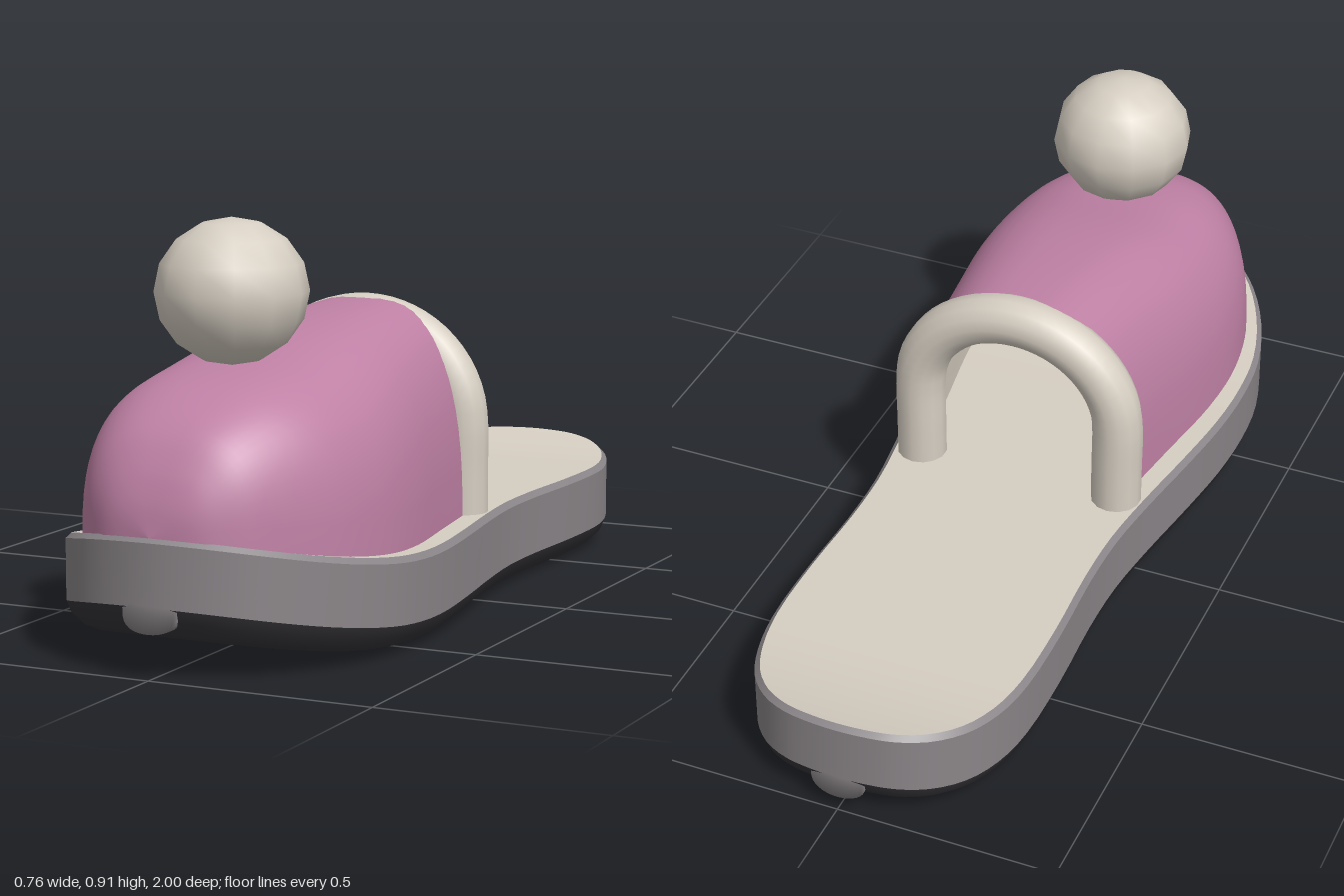
import * as THREE from 'three';

const paint = (name, color) => Object.assign(new THREE.MeshStandardMaterial({ color }), { name });
const V = (x, y, z) => new THREE.Vector3(x, y, z);

// Skin a grid of points; faces point along (row direction x column direction)
function loft(rows, closed = false) {
  const n = rows[0].length, index = [];
  for (let r = 0; r < rows.length - 1; r++) {
    for (let k = 0; k < (closed ? n : n - 1); k++) {
      const a = r * n + k, b = r * n + (k + 1) % n;
      index.push(a, a + n, b, b, a + n, b + n);
    }
  }
  const g = new THREE.BufferGeometry().setFromPoints(rows.flat());
  g.setIndex(index);
  g.computeVertexNormals();
  return g;
}

// Height of the sole's underside: toe and heel curl upward
function rise(z) {
  if (z > 0.35) return 0.095 * ((z - 0.35) / 0.65) ** 2;
  if (z < -0.72) return 0.037 * ((-z - 0.72) / 0.28) ** 2;
  return 0;
}

export function createModel() {
  const model = new THREE.Group();
  model.name = 'slipper';
  const cream = paint('cream', 0xd6cec2);
  const pink = paint('pink', 0xbf81a5);
  const grey = paint('grey', 0x8a8588);
  const dark = paint('dark', 0x343236);
  const add = (name, geometry, material) => {
    const mesh = new THREE.Mesh(geometry, material);
    mesh.name = name;
    model.add(mesh);
    return mesh;
  };

  // Sole outline as half-width and z, heel to toe, mirrored into a loop
  const side = [
    [0.06, -0.996], [0.125, -0.982], [0.19, -0.945], [0.245, -0.88], [0.282, -0.79], [0.302, -0.68],
    [0.305, -0.5], [0.297, -0.3], [0.3, -0.15], [0.318, 0], [0.35, 0.2], [0.37, 0.35], [0.378, 0.5],
    [0.37, 0.62], [0.332, 0.75], [0.272, 0.86], [0.2, 0.935], [0.13, 0.974], [0.06, 0.994],
  ];
  const loop = [
    V(0, 0, -1), ...side.map(([x, z]) => V(x, 0, z)),
    V(0, 0, 1), ...side.slice().reverse().map(([x, z]) => V(-x, 0, z)),
  ];
  const count = loop.length * 3;
  const outline = new THREE.CatmullRomCurve3(loop, true).getPoints(count).slice(0, count);

  // Outline moved inward and placed at a height above the underside
  const ring = (inset, height) => outline.map((p, i) => {
    const t = outline[(i + 1) % count].clone().sub(outline[(i + count - 1) % count]).normalize();
    const x = p.x - t.z * inset, z = p.z + t.x * inset;
    return V(x, rise(z) + height, z);
  });
  // Flat-across cover made of strips between mirrored outline points
  const cover = (points, up) => {
    const rows = [];
    for (let i = 0; i <= count / 2; i++) {
      const pair = [points[(count - i) % count], points[i]];
      rows.push(up ? pair : pair.reverse());
    }
    return loft(rows);
  };

  add('outsoleEdge', loft([ring(0.06, 0), ring(0.035, 0.008), ring(0.01, 0.03), ring(0, 0.055)], true), dark);
  add('outsoleBottom', cover(ring(0.06, 0), false), dark);
  add('midsoleWall', loft([ring(0, 0.055), ring(0, 0.187)], true), grey);
  add('midsoleBevel', loft([ring(0, 0.187), ring(0.012, 0.2)], true), grey);
  add('insole', cover(ring(0.012, 0.2), true), cream);

  // Rounded tabs of the wall reaching down at the toe and the heel
  for (const s of [1, -1]) {
    const back = [], low = [], high = [];
    for (let i = 0; i <= 16; i++) {
      const a = (i / 16) * Math.PI;
      const x = 0.063 * Math.cos(a), z = 1.001 - 2.2 * x * x;
      const base = rise(s), drop = 0.055 - 0.055 * Math.sqrt(Math.sin(a));
      back.push(V(s * x, base + drop, s * (z - 0.06)));
      low.push(V(s * x, base + drop, s * z));
      high.push(V(s * x, base + 0.058, s * z));
    }
    add(s > 0 ? 'toeTab' : 'heelTab', loft([back, low, high]), grey);
  }

  // Upper: arched sections given by half-width, height and z
  const spine = new THREE.CatmullRomCurve3([
    V(0.255, 0.478, 0), V(0.285, 0.465, 0.2), V(0.315, 0.44, 0.4), V(0.323, 0.4, 0.56), V(0.303, 0.36, 0.7),
    V(0.262, 0.315, 0.8), V(0.2, 0.235, 0.9), V(0.145, 0.155, 0.95), V(0.09, 0.08, 0.978), V(0.001, 0.001, 0.992),
  ]).getPoints(45);
  const shell = (thickness, inward) => loft(spine.map((s) => {
    const w = Math.max(s.x - thickness, 0.001), h = Math.max(s.y - thickness, 0.001);
    const row = [];
    for (let i = 0; i <= 32; i++) {
      const a = (i / 32) * Math.PI, c = -Math.cos(a), e = 2 / 2.8;
      const up = Math.sin(a) ** e;
      const x = Math.sign(c) * Math.abs(c) ** e * w * (1.02 - 0.02 * up);
      row.push(V(x, rise(s.z) + 0.198 + h * up, s.z - thickness * (s.z > 0.5 ? 1 : 0)));
    }
    return inward ? row.reverse() : row;
  }));
  add('upper', shell(0, false), pink);
  add('lining', shell(0.02, true), cream);

  // Padded trim around the foot opening
  const arch = [V(0.243, 0.18, -0.007), V(0.243, 0.29, -0.007)];
  for (let i = 0; i <= 12; i++) {
    const a = (i / 12) * Math.PI;
    arch.push(V(0.243 * Math.cos(a), 0.4 + 0.225 * Math.sin(a), -0.007));
  }
  arch.push(V(-0.243, 0.29, -0.007), V(-0.243, 0.18, -0.007));
  add('openingTrim', new THREE.TubeGeometry(new THREE.CatmullRomCurve3(arch), 48, 0.058, 14), cream);

  // Pompom on the toe
  const pompom = add('pompom', new THREE.SphereGeometry(0.16, 12, 8), cream);
  pompom.position.set(0, 0.752, 0.633);
  pompom.scale.set(1.02, 0.97, 1.02);

  return model;
}
